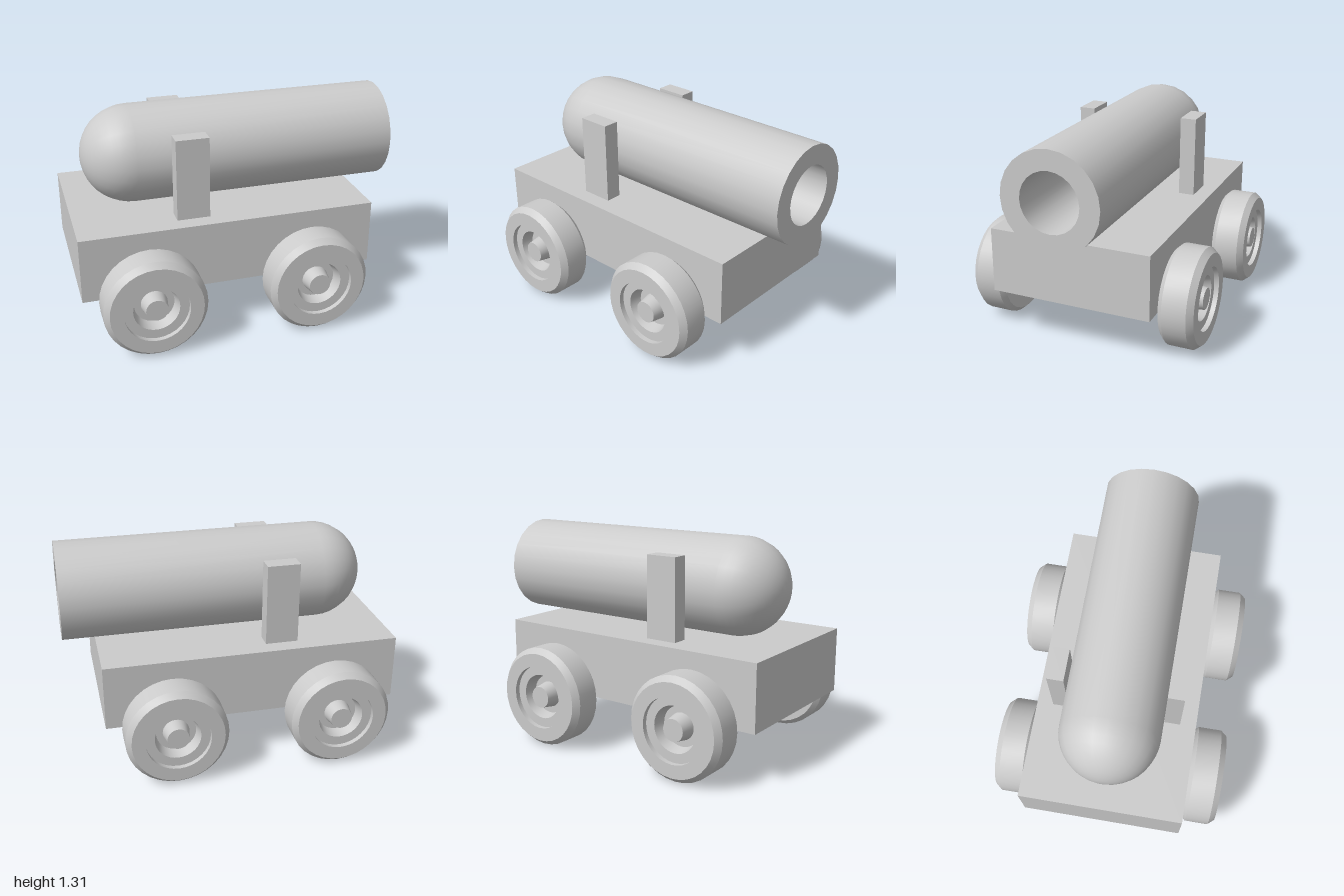
import * as THREE from 'three';
import { toCreasedNormals } from 'three/addons/utils/BufferGeometryUtils.js';

const material = new THREE.MeshStandardMaterial({ color: 0xcccccc });

function addMesh(parent, name, geometry, x, y, z) {
  const mesh = new THREE.Mesh(geometry, material);
  mesh.name = name;
  mesh.position.set(x, y, z);
  parent.add(mesh);
  return mesh;
}

// Turned solid with sharp edges kept sharp
function turned(profile, segments) {
  const points = profile.map(([r, y]) => new THREE.Vector2(r, y));
  return toCreasedNormals(new THREE.LatheGeometry(points, segments), 0.5);
}

export function createModel() {
  const model = new THREE.Group();
  model.name = 'cannonCart';

  // Flat cart body
  addMesh(model, 'cartBody', new THREE.BoxGeometry(1.8, 0.4, 1), -0.1, 0.51, 0);

  // Barrel: rounded breech, straight tube and hollow bore
  const profile = [];
  for (let i = 0; i <= 10; i++) {
    const a = (i / 10) * Math.PI / 2;
    profile.push([0.3 * Math.sin(a), -0.3 * Math.cos(a)]);
  }
  profile.push([0.3, 1.6], [0.18, 1.6], [0.18, 0], [0, 0]);
  const barrel = turned(profile, 24).rotateZ(-Math.PI / 2);
  addMesh(model, 'barrel', barrel, -0.6, 1.01, 0);

  // Wheel: bevelled tyre, stepped recess and axle stub, facing +z
  const wheel = turned([
    [0, 0.01], [0.195, 0.01], [0.195, 0], [0.28, 0],
    [0.308, 0.03], [0.308, 0.178], [0.277, 0.215],
    [0.195, 0.215], [0.195, 0.185], [0.138, 0.185],
    [0.12, 0.115], [0.08, 0.115], [0.066, 0.2], [0, 0.2],
  ], 32).rotateX(Math.PI / 2);

  for (const side of [1, -1]) {
    const label = side > 0 ? 'front' : 'back';
    // Barrel support posts
    addMesh(model, label + 'Post', new THREE.BoxGeometry(0.2, 0.5, 0.1), -0.3, 0.96, side * 0.35);

    // Wheels on both sides
    for (const x of [-0.6, 0.4]) {
      const name = label + (x > 0 ? 'Left' : 'Right') + 'Wheel';
      const mesh = addMesh(model, name, wheel, x, 0.308, side * 0.5);
      if (side < 0) mesh.rotation.y = Math.PI;
    }
  }
  return model;
}
